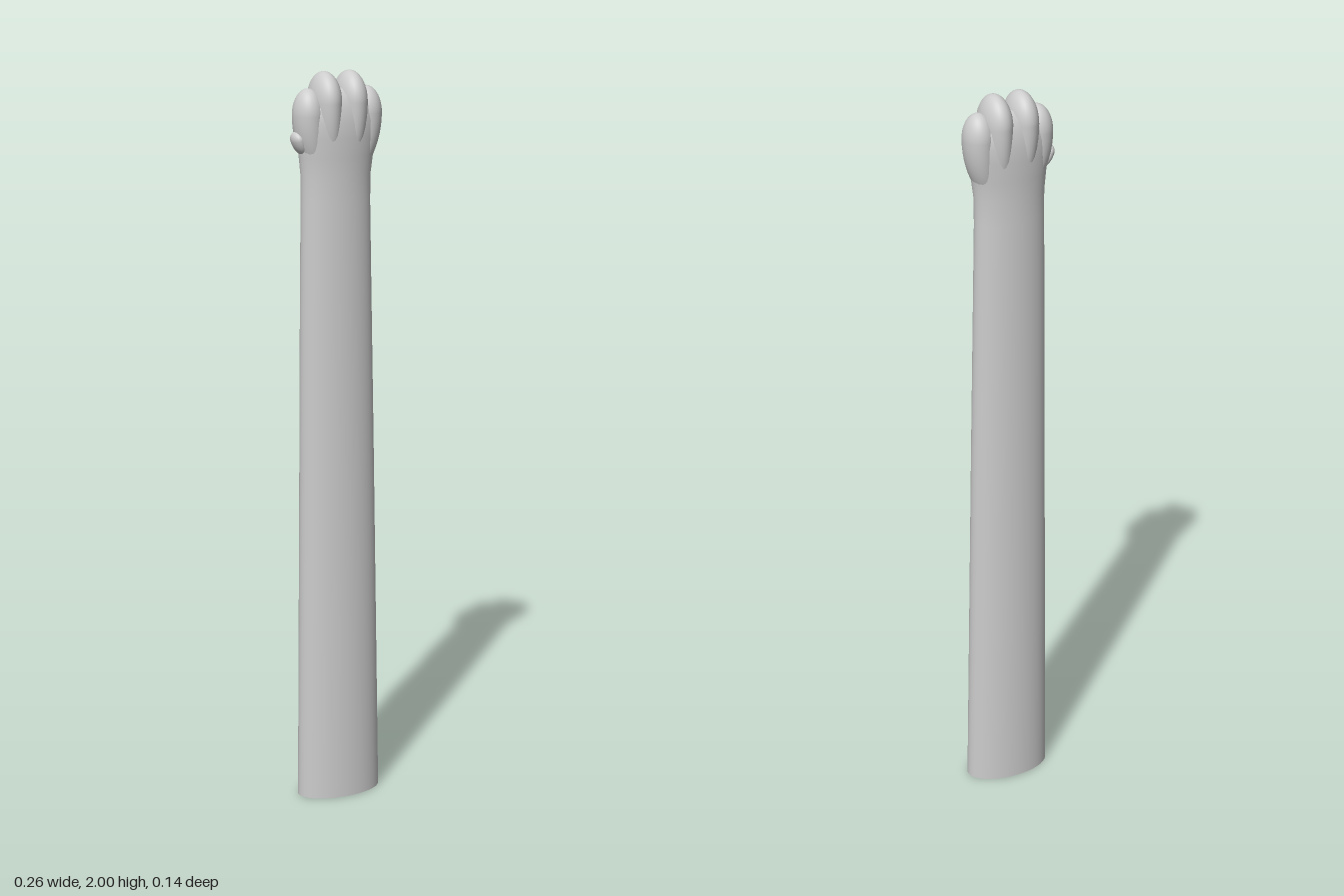
import * as THREE from 'three';

const fur = new THREE.MeshStandardMaterial({ color: 0xcccccc });
fur.name = 'lightGreyFur';

// Smooth elliptical loft; each section is [y, xMin, xMax, zHalf]
function loft(sections, n = 40) {
  const pos = [], idx = [];
  for (const [y, x0, x1, rz] of sections) {
    for (let i = 0; i < n; i++) {
      const a = (i / n) * Math.PI * 2;
      pos.push((x0 + x1) / 2 + ((x1 - x0) / 2) * Math.cos(a), y, rz * Math.sin(a));
    }
  }
  for (let r = 0; r < sections.length - 1; r++) {
    for (let i = 0; i < n; i++) {
      const a = r * n + i, b = r * n + ((i + 1) % n);
      idx.push(a, a + n, b, b, a + n, b + n);
    }
  }
  const g = new THREE.BufferGeometry();
  g.setAttribute('position', new THREE.Float32BufferAttribute(pos, 3));
  g.setIndex(idx);
  g.computeVertexNormals();
  return g;
}

// Egg-shaped toe: short rounded tip above, long root leaning in below
function toeGeometry(rx, rz, up, down, lean) {
  const g = new THREE.SphereGeometry(1, 32, 28);
  const p = g.attributes.position;
  for (let i = 0; i < p.count; i++) {
    const y = p.getY(i);
    const drop = Math.max(0, -y);
    p.setXYZ(i, p.getX(i) * rx + lean * drop * drop, y * (y > 0 ? up : down), p.getZ(i) * rz);
  }
  g.computeVertexNormals();
  return g;
}

export function createModel() {
  const model = new THREE.Group();
  const add = (name, geometry, x = 0, y = 0, z = 0) => {
    const mesh = new THREE.Mesh(geometry, fur);
    mesh.name = name;
    mesh.position.set(x, y, z);
    model.add(mesh);
    return mesh;
  };

  // Long tapering arm flaring into the palm
  add('arm', loft([
    [0, -0.117, 0.125, 0.068],
    [0.5, -0.113, 0.116, 0.064],
    [1, -0.109, 0.107, 0.06],
    [1.4, -0.106, 0.099, 0.057],
    [1.66, -0.103, 0.094, 0.055],
    [1.73, -0.103, 0.095, 0.055],
    [1.78, -0.108, 0.102, 0.057],
    [1.83, -0.115, 0.112, 0.06],
    [1.87, -0.117, 0.117, 0.06],
    [1.91, -0.107, 0.109, 0.055],
    [1.94, -0.08, 0.08, 0.042],
    [1.955, -0.045, 0.045, 0.025],
    [1.96, 0, 0, 0],
  ]));

  // Flat cut end
  const end = new THREE.CircleGeometry(1, 40);
  end.scale(0.121, 0.068, 1);
  end.rotateX(Math.PI / 2);
  add('armEnd', end, 0.004, 0, 0);

  // Two pairs of toes
  for (const s of [-1, 1]) {
    const side = s > 0 ? 'left' : 'right';
    add(side + 'InnerToe', toeGeometry(0.041, 0.066, 0.08, 0.19, -0.012 * s), 0.037 * s, 1.92, 0);
    add(side + 'OuterToe', toeGeometry(0.041, 0.047, 0.07, 0.17, -0.035 * s), 0.084 * s, 1.888, 0);
  }

  // Small dewclaw pad on the right edge
  const pad = add('dewclaw', toeGeometry(0.016, 0.026, 0.022, 0.045, 0.006), -0.115, 1.826, 0);
  pad.rotation.z = 0.3;

  return model;
}
